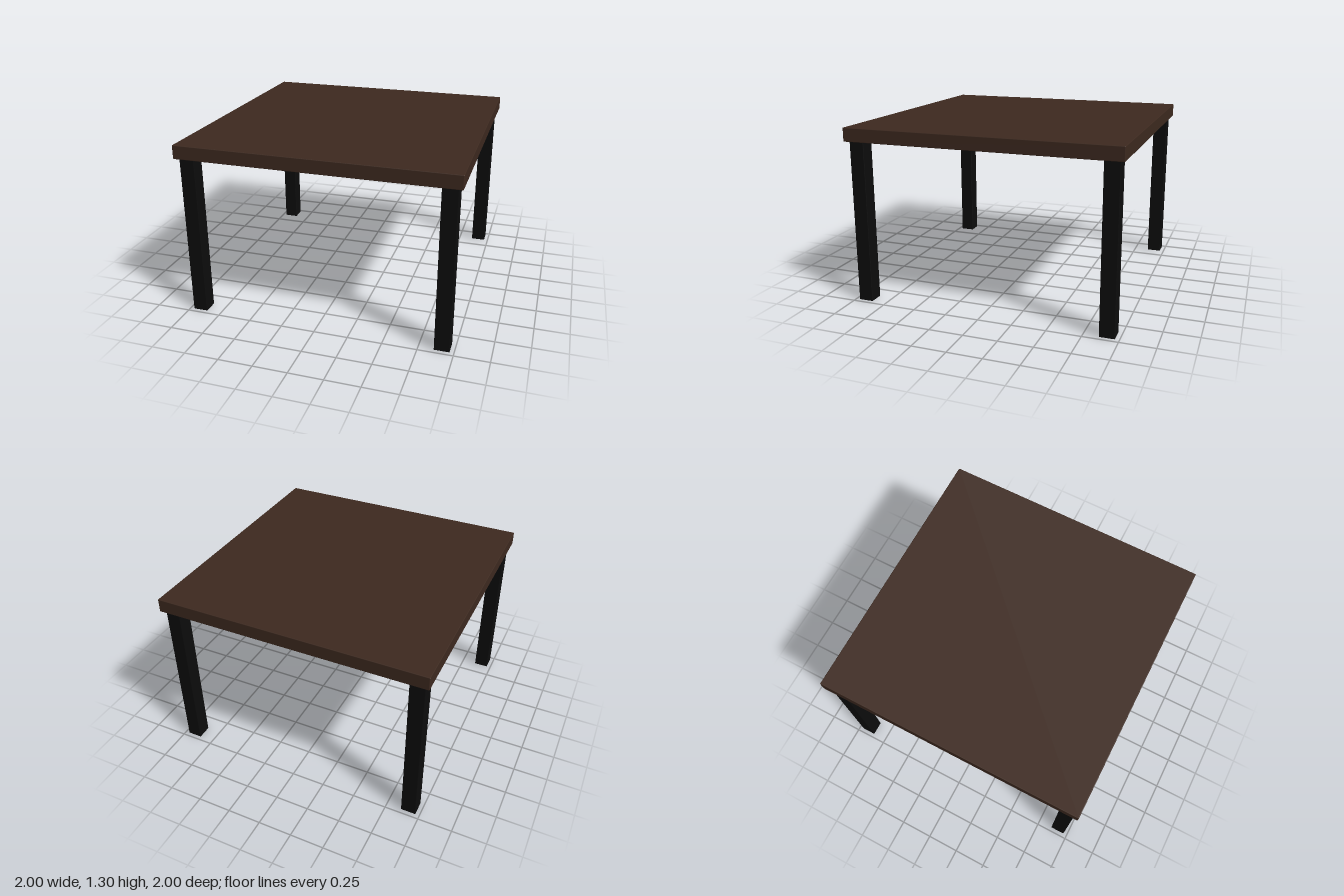
import * as THREE from 'three';
import { RoundedBoxGeometry } from 'three/addons/geometries/RoundedBoxGeometry.js';

const TOP_HEIGHT = 1.3;
const TOP_THICKNESS = 0.1;
const LEG_HEIGHT = TOP_HEIGHT - TOP_THICKNESS;
const LEG_WIDTH = 0.11;
const LEG_OFFSET = 0.915;
const EDGE = 0.005;

export function createModel() {
  const table = new THREE.Group();
  table.name = 'table';

  const wood = new THREE.MeshStandardMaterial({ color: 0x3d291f });
  const black = new THREE.MeshStandardMaterial({ color: 0x0c0c0c });

  // Square top with slightly eased edges
  const top = new THREE.Mesh(new RoundedBoxGeometry(2, TOP_THICKNESS, 2, 2, EDGE), wood);
  top.name = 'tableTop';
  top.position.y = TOP_HEIGHT - TOP_THICKNESS / 2;
  table.add(top);

  // Four square legs, set in a little from the corners
  const legGeometry = new RoundedBoxGeometry(LEG_WIDTH, LEG_HEIGHT, LEG_WIDTH, 2, EDGE);
  for (const [zName, z] of [['front', 1], ['back', -1]]) {
    for (const [xName, x] of [['Left', 1], ['Right', -1]]) {
      const leg = new THREE.Mesh(legGeometry, black);
      leg.name = `${zName}${xName}Leg`;
      leg.position.set(x * LEG_OFFSET, LEG_HEIGHT / 2, z * LEG_OFFSET);
      table.add(leg);
    }
  }

  return table;
}
